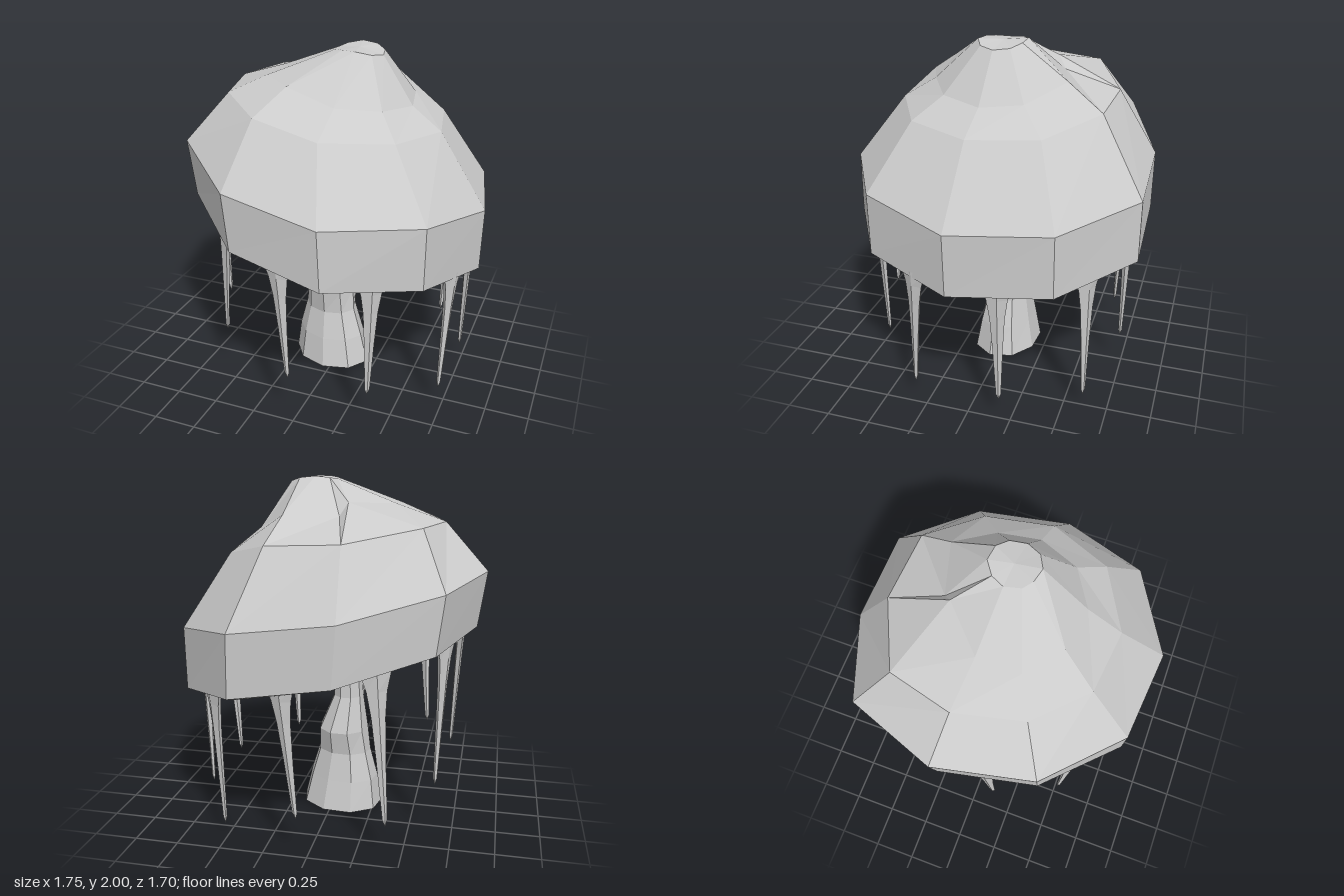
import * as THREE from 'three';

const material = new THREE.MeshStandardMaterial({ color: 0xcccccc, flatShading: true });

// Skin a list of equal-length rings, ordered so the walk upwards faces outwards
function loft(name, rings) {
  const pos = [];
  const tri = (a, b, c) => {
    if (a.equals(b) || b.equals(c) || a.equals(c)) return;
    pos.push(...a.toArray(), ...b.toArray(), ...c.toArray());
  };
  for (let r = 0; r < rings.length - 1; r++) {
    const lo = rings[r], up = rings[r + 1], n = lo.length;
    for (let i = 0; i < n; i++) {
      const j = (i + 1) % n;
      tri(lo[i], up[i], lo[j]);
      tri(lo[j], up[i], up[j]);
    }
  }
  const geo = new THREE.BufferGeometry();
  geo.setAttribute('position', new THREE.Float32BufferAttribute(pos, 3));
  geo.computeVertexNormals();
  const mesh = new THREE.Mesh(geo, material);
  mesh.name = name;
  return mesh;
}

const V = (x, y, z) => new THREE.Vector3(x, y, z);
const ring = (pts) => pts.map((p) => V(...p));
const point = (n, x, y, z) => Array.from({ length: n }, () => V(x, y, z));

// Ellipse ring, running from +x towards +z
function ellipse(n, cx, y, cz, rx, rz, turn = 0) {
  return Array.from({ length: n }, (_, i) => {
    const a = (i / n) * Math.PI * 2;
    const u = Math.cos(a) * rx, v = Math.sin(a) * rz;
    return V(cx + u * Math.cos(turn) - v * Math.sin(turn), y, cz + u * Math.sin(turn) + v * Math.cos(turn));
  });
}

// Lopsided ten-sided cap: rim, shoulder, neck (notched at the back) and crown
function makeCap() {
  const rim = ring([
    [-0.18, 1.33, -0.84], [0.38, 1.26, -0.85], [0.76, 1.185, -0.48], [0.875, 1.17, 0.07], [0.68, 1.245, 0.57],
    [0.2, 1.27, 0.845], [-0.35, 1.365, 0.79], [-0.76, 1.485, 0.42], [-0.88, 1.5, -0.12], [-0.69, 1.46, -0.63]]);
  const shoulder = ring([
    [-0.16, 1.69, -0.62], [0.25, 1.67, -0.6], [0.52, 1.59, -0.34], [0.6, 1.58, 0.04], [0.45, 1.6, 0.39],
    [0.1, 1.625, 0.58], [-0.28, 1.7, 0.54], [-0.55, 1.75, 0.29], [-0.64, 1.76, -0.08], [-0.55, 1.76, -0.43]]);
  const neck = ring([
    [-0.09, 1.8, -0.32], [0.2, 1.81, -0.4], [0.38, 1.72, -0.21], [0.43, 1.7, 0.02], [0.33, 1.72, 0.25],
    [0.11, 1.75, 0.38], [-0.17, 1.83, 0.35], [-0.36, 1.84, 0.19], [-0.36, 1.85, -0.05], [-0.13, 1.87, -0.27]]);
  const crown = ring([
    [0.08, 2, -0.15], [0.17, 1.99, -0.14], [0.23, 1.97, -0.09], [0.25, 1.96, 0], [0.21, 1.97, 0.08],
    [0.13, 1.99, 0.12], [0.05, 1.99, 0.1], [0, 1.985, 0.06], [-0.02, 1.98, -0.03], [0.01, 1.99, -0.1]]);
  const shrink = (src, s, dy) => src.map((p) => V(p.x * s + 0.015, p.y + dy, p.z * s));
  const bottom = rim.map((p) => V(p.x * 0.97 + 0.018, p.y - 0.335 - 0.025 * p.x, p.z));
  return loft('cap', [
    point(10, -0.02, 1.42, 0),
    shrink(bottom, 0.75, 0.32),
    shrink(bottom, 0.89, -0.03),
    bottom, rim, shoulder, neck, crown,
    point(10, 0.11, 1.99, -0.02),
  ]);
}

// Leaning stem with a bulge halfway up; rows are centre x, y, centre z, x radius, z radius
function makeStem() {
  const rows = [
    [-0.045, 0, 0, 0.25, 0.2], [-0.055, 0.18, 0, 0.215, 0.165], [-0.06, 0.35, -0.005, 0.165, 0.13],
    [-0.055, 0.49, -0.01, 0.15, 0.15], [-0.085, 0.7, -0.01, 0.09, 0.09], [-0.075, 0.95, -0.01, 0.08, 0.08],
    [-0.05, 1.42, -0.01, 0.1, 0.1]];
  return loft('stem', [point(9, -0.045, 0, 0), ...rows.map((r) => ellipse(9, ...r, 0.2))]);
}

// Drip hanging from the lip: broad along the lip, thin across it
function makeDrip([topX, topY, topZ, tipX, tipY, tipZ]) {
  const turn = Math.atan2(topZ, topX);
  const section = (t, across, along) => ellipse(5,
    THREE.MathUtils.lerp(tipX, topX, t), THREE.MathUtils.lerp(tipY, topY, t),
    THREE.MathUtils.lerp(tipZ, topZ, t), across, along, turn);
  return loft('drip', [
    point(5, tipX, tipY, tipZ),
    section(0.05, 0.011, 0.015),
    section(0.45, 0.017, 0.029),
    section(0.72, 0.021, 0.042),
    section(0.88, 0.025, 0.06),
    section(1, 0.03, 0.09),
  ]);
}

export function createModel() {
  const model = new THREE.Group();
  model.name = 'mushroom';
  model.add(makeCap(), makeStem());

  // Top and tip of each drip
  const drips = new THREE.Group();
  drips.name = 'drips';
  [
    [-0.06, 1.01, 0.755, -0.02, 0.3, 0.76],
    [0.42, 0.95, 0.64, 0.4, 0.21, 0.63],
    [0.76, 0.88, 0.28, 0.73, 0.13, 0.32],
    [0.76, 0.87, -0.18, 0.74, 0.12, -0.18],
    [0.55, 0.9, -0.61, 0.51, 0.08, -0.61],
    [0.13, 0.99, -0.76, 0.06, 0.22, -0.74],
    [-0.35, 1.06, -0.67, -0.41, 0.17, -0.63],
    [-0.68, 1.16, -0.36, -0.65, 0.32, -0.37],
    [-0.74, 1.18, 0.11, -0.7, 0.38, 0.14],
    [-0.47, 1.1, 0.57, -0.52, 0.36, 0.52],
  ].forEach((d) => drips.add(makeDrip(d)));
  model.add(drips);
  return model;
}
